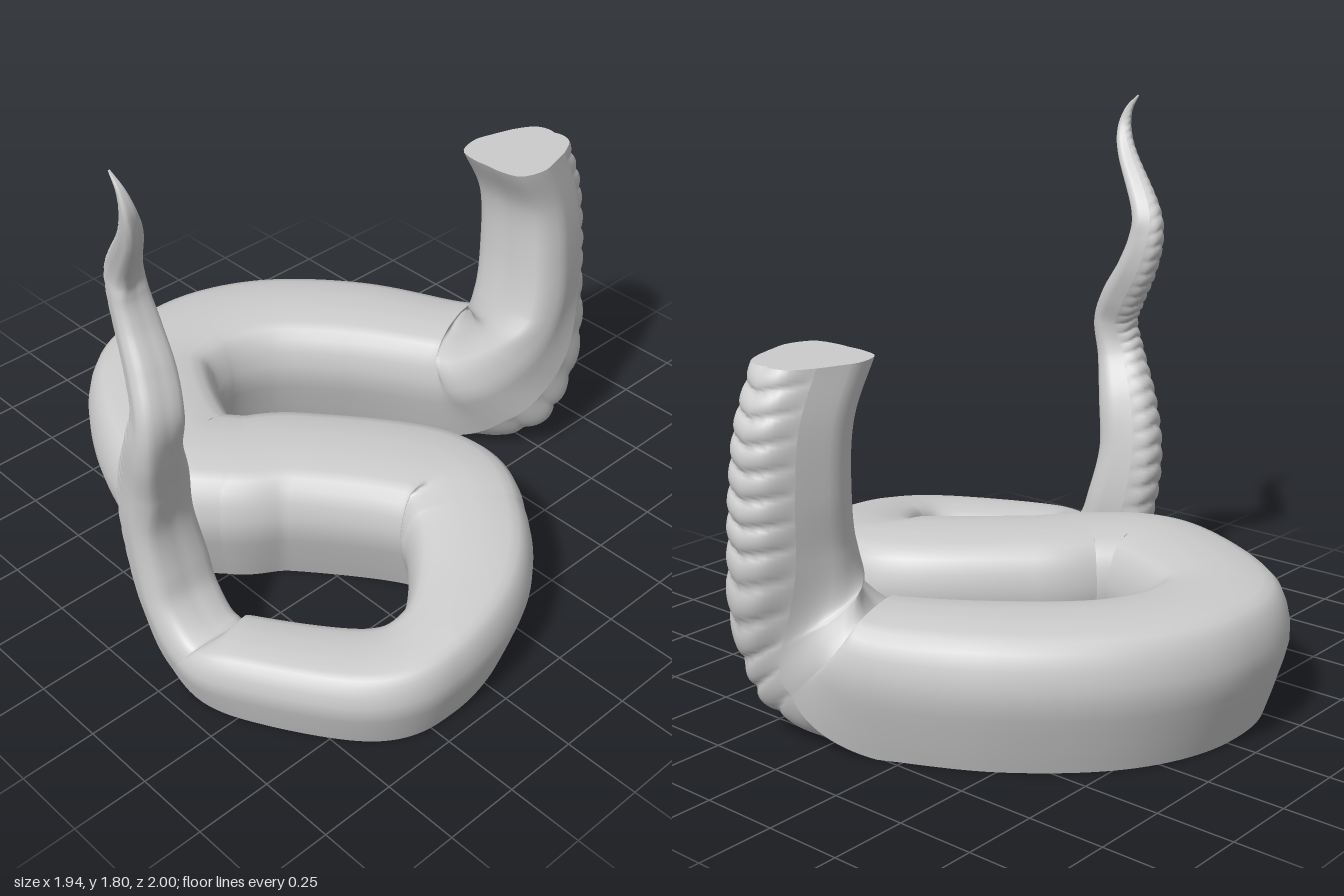
import * as THREE from 'three';

const { smoothstep, clamp } = THREE.MathUtils;
const vec = (x, y, z) => new THREE.Vector3(x, y, z);

// Raised neck, from the cut down: x, y, z, half width, half depth
const NECK = [
  [0.095, 1.17, -0.74, 0.155, 0.17], [0.1, 1, -0.815, 0.155, 0.16], [0.115, 0.8, -0.827, 0.165, 0.163],
  [0.13, 0.6, -0.81, 0.17, 0.18], [0.135, 0.38, -0.765, 0.185, 0.205], [0.06, 0.24, -0.71, 0.2, 0.23],
];
// Winding body lying on the ground: x, z, half width
const COIL = [
  [-0.12, -0.64, 0.2], [-0.42, -0.47, 0.22], [-0.66, -0.24, 0.22], [-0.75, 0.02, 0.22], [-0.67, 0.27, 0.225],
  [-0.29, 0.465, 0.235], [-0.1, 0.38, 0.23], [0.03, 0.22, 0.23], [0.38, -0.04, 0.235], [0.58, 0, 0.21],
  [0.75, 0.17, 0.185], [0.835, 0.4, 0.14], [0.77, 0.6, 0.145], [0.44, 0.82, 0.135],
];
// Rising tail: x, y, z, radius
const TAIL = [
  [0.29, 0.135, 0.85, 0.122], [0.17, 0.23, 0.85, 0.12], [0.115, 0.37, 0.85, 0.118], [0.095, 0.55, 0.865, 0.107],
  [0.13, 0.72, 0.885, 0.098], [0.19, 0.88, 0.92, 0.08], [0.21, 1, 0.915, 0.075], [0.16, 1.1, 0.89, 0.073],
  [0.09, 1.21, 0.87, 0.066], [0.055, 1.32, 0.87, 0.058], [0.075, 1.42, 0.885, 0.049], [0.2, 1.59, 0.945, 0.034],
  [0.235, 1.68, 0.97, 0.024], [0.225, 1.75, 0.98, 0.013], [0.19, 1.8, 0.985, 0.003],
];

// Each station: centre, size (half width, half depth, roundness of the belly) and belly direction
const neckStations = NECK.map(([x, y, z, w, h]) => {
  const turn = 1 - smoothstep(y, 0.2, 0.65);
  return { center: vec(x, y, z), size: vec(w, h, 1), belly: vec(0.6 * turn, -0.7 * turn, 0.62 * turn - 1) };
});
const coilStations = COIL.map(([x, z, w], i) => {
  const h = 0.217 - 0.092 * smoothstep(i, 7, 13.5);
  return { center: vec(x, h, z), size: vec(w, h, 0), belly: vec(0, -1, 0) };
});
const tailStations = TAIL.map(([x, y, z, r], i) => {
  const from = TAIL[Math.max(i - 1, 0)], to = TAIL[Math.min(i + 1, TAIL.length - 1)];
  const along = vec(to[0] - from[0], to[1] - from[1], to[2] - from[2]).normalize();
  const belly = vec(-1, -0.6, 0).projectOnPlane(along).normalize();
  return { center: vec(x, y, z), size: vec(r, 0.95 * r, smoothstep(y, 0.1, 0.25)), belly };
});
const STATIONS = [...neckStations, ...coilStations, ...tailStations];
const STEPS = (STATIONS.length - 1) * 20;

// Cross-sections as (side, belly): flat on the ground, rounded where raised
const mirror = (half, flip) => {
  const other = half.slice(0, -1).reverse().map(([u, v]) => [-u, v]);
  return new THREE.SplineCurve([...half, ...other].map(([u, v]) => new THREE.Vector2(flip * u, v)));
};
const BELLY = {
  ground: mirror([[0.68, 1], [0.34, 1], [0, 1]], -1),
  raised: mirror([[0.76, 0.45], [0.46, 0.87], [0, 1]], -1),
};
const BACK = {
  ground: mirror([[0.68, 1], [0.86, 0.42], [1, -0.22], [0.82, -0.82], [0.4, -0.97], [0, -1]], 1),
  raised: mirror([[0.76, 0.45], [0.91, 0], [1, -0.4], [0.83, -0.87], [0.4, -1], [0, -1]], 1),
};

// Frames along the whole body, with a running count of belly plates
function makeFrames() {
  const curveOf = (key) => new THREE.CatmullRomCurve3(STATIONS.map((s) => s[key]), false, 'catmullrom', 0.5);
  const path = curveOf('center'), size = curveOf('size'), bellyDir = curveOf('belly');
  const frames = [];
  let plates = 0;
  for (let i = 0; i <= STEPS; i++) {
    const t = i / STEPS;
    const center = path.getPoint(t), belly = bellyDir.getPoint(t).normalize();
    const side = path.getTangent(t).cross(belly).normalize();
    const { x: w, y: h, z } = size.getPoint(t);
    if (i) plates += center.distanceTo(frames[i - 1].center) / (0.02 + 0.38 * w);
    frames.push({ center, belly, side, w, h, raised: clamp(z, 0, 1), plates });
  }
  return frames;
}

// One ring of a section, optionally swelling into V-shaped plates
function ring(frame, section, count, plated) {
  const points = [];
  for (let j = 0; j <= count; j++) {
    const q = section.ground.getPoint(j / count).lerp(section.raised.getPoint(j / count), frame.raised);
    let v = q.y * frame.h;
    if (plated) {
      const k = Math.abs((2 * j) / count - 1);
      const bump = Math.sqrt(Math.abs(Math.sin(Math.PI * (frame.plates + 0.5 * k))));
      v += 0.13 * frame.w * frame.raised * (bump - 0.6) * (1 - k ** 4);
    }
    const p = frame.center.clone().addScaledVector(frame.side, q.x * frame.w).addScaledVector(frame.belly, v);
    p.y = Math.max(p.y, 0);
    points.push(p);
  }
  return points;
}

function surface(points, index) {
  const geometry = new THREE.BufferGeometry().setFromPoints(points);
  geometry.setIndex(index);
  geometry.computeVertexNormals();
  return geometry;
}

// Smooth skin across a series of rings
function skin(rings) {
  const row = rings[0].length, index = [];
  for (let i = 0; i < rings.length - 1; i++) {
    for (let j = 0; j < row - 1; j++) {
      const a = i * row + j, b = a + row;
      index.push(a, a + 1, b, a + 1, b + 1, b);
    }
  }
  return surface(rings.flat(), index);
}

// Flat face closing the cut neck
function cap(points, center) {
  const n = points.length;
  return surface([...points, center], points.flatMap((_, j) => [n, (j + 1) % n, j]));
}

export function createModel() {
  const group = new THREE.Group();
  group.name = 'coiledBody';
  const material = new THREE.MeshStandardMaterial({ color: 0xcccccc, side: THREE.DoubleSide });
  const add = (name, geometry) => {
    const mesh = new THREE.Mesh(geometry, material);
    mesh.name = name;
    group.add(mesh);
  };
  const frames = makeFrames();
  const bellyRings = frames.map((f) => ring(f, BELLY, 20, true));
  const backRings = frames.map((f) => ring(f, BACK, 28, false));
  add('bellyPlates', skin(bellyRings));
  add('backSkin', skin(backRings));
  add('neckCut', cap([...bellyRings[0], ...backRings[0]], frames[0].center));
  return group;
}
